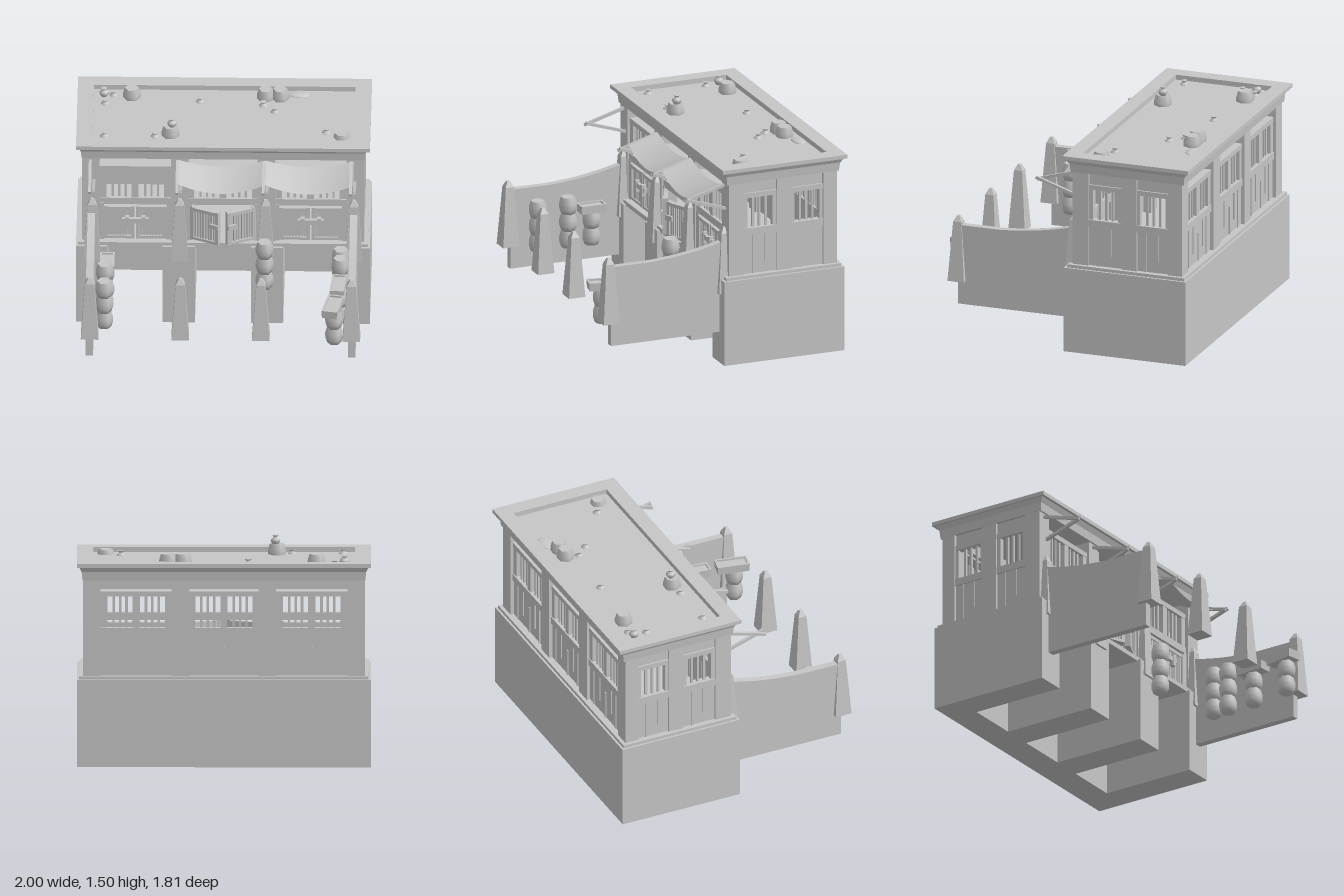
import * as THREE from 'three';

const stone = new THREE.MeshStandardMaterial({ color: 0xc6c6c6 });
stone.name = 'pale grey';
const cloth = stone.clone(); // same grey, visible from both sides
cloth.name = 'pale grey cloth';
cloth.side = THREE.DoubleSide;

function add(parent, name, geo, x = 0, y = 0, z = 0, mat = stone) {
  const m = new THREE.Mesh(geo, mat);
  m.name = name;
  m.position.set(x, y, z);
  parent.add(m);
  return m;
}

// box given by its limits
function block(parent, name, x0, x1, y0, y1, z0, z1) {
  return add(parent, name, new THREE.BoxGeometry(x1 - x0, y1 - y0, z1 - z0),
    (x0 + x1) / 2, (y0 + y1) / 2, (z0 + z1) / 2);
}

function group(parent, name, x = 0, y = 0, z = 0, ry = 0) {
  const g = new THREE.Group();
  g.name = name;
  g.position.set(x, y, z);
  g.rotation.y = ry;
  parent.add(g);
  return g;
}

// rectangular ring lying flat, with an optional outward flare towards its top
function ring(hw, hd, holeW, holeD, h, flare = 0) {
  const s = new THREE.Shape([[-hw, -hd], [hw, -hd], [hw, hd], [-hw, hd]].map(p => new THREE.Vector2(...p)));
  s.holes.push(new THREE.Path([[-holeW, -holeD], [-holeW, holeD], [holeW, holeD], [holeW, -holeD]].map(p => new THREE.Vector2(...p))));
  const g = new THREE.ExtrudeGeometry(s, { depth: h, bevelEnabled: false });
  g.rotateX(-Math.PI / 2);
  const p = g.attributes.position;
  for (let i = 0; i < p.count; i++) {
    const x = p.getX(i), z = p.getZ(i);
    if (p.getY(i) > h / 2 && Math.abs(x) > holeW + 0.005) p.setXYZ(i, x + Math.sign(x) * flare, h, z + Math.sign(z) * flare);
  }
  g.computeVertexNormals();
  return g;
}

// four-sided tapering pillar with a pyramid tip
function obelisk(parent, x, y, z) {
  const g = group(parent, 'obelisk', x, y, z);
  const r = Math.SQRT2;
  [[0.03, 0.06, 0.42, 0.21], [0.01, 0.03, 0.04, 0.44]].forEach(([top, bottom, h, cy], i) => {
    const c = new THREE.CylinderGeometry(top * r, bottom * r, h, 4).toNonIndexed();
    c.rotateY(Math.PI / 4);
    c.computeVertexNormals();
    add(g, i ? 'obeliskTip' : 'obeliskShaft', c, 0, cy, 0);
  });
}

// six-sided pottery with corners pointing sideways
const lathe = pts => new THREE.LatheGeometry(pts.map(p => new THREE.Vector2(...p)), 6).rotateY(Math.PI / 6);
const potGeo = lathe([[0, 0], [0.048, 0], [0.06, 0.035], [0.061, 0.075], [0.048, 0.12], [0.048, 0.12], [0.042, 0.118], [0.042, 0.118], [0, 0.118]]);
const jugGeo = lathe([[0, 0], [0.022, 0], [0.033, 0.022], [0.03, 0.036], [0.015, 0.045], [0.015, 0.054], [0.022, 0.062], [0.022, 0.062], [0, 0.064]]);

function potStack(parent, x, z, n) {
  for (let i = 0; i < n; i++) add(parent, 'pot', potGeo, x, 0.35 + i * 0.12, z);
}

function tray(parent, x, z, w, d, ry) {
  const g = group(parent, 'tray', x, 0.585, z, ry);
  add(g, 'trayRim', ring(w / 2 - 0.004, d / 2 - 0.004, w / 2 - 0.013, d / 2 - 0.013, 0.058, 0.004));
  block(g, 'trayFloor', -w / 2 + 0.008, w / 2 - 0.008, 0.001, 0.045, -d / 2 + 0.008, d / 2 - 0.008);
}

// slatted half door, hinged at local x = 0 and reaching to x = dir * w
function doorLeaf(parent, x, z, w, dir, turn) {
  const g = group(parent, 'doorLeaf', x, 0, z, turn);
  const bar = (n, a, b, y0, y1, z0, z1) => block(g, n, Math.min(a * dir, b * dir), Math.max(a * dir, b * dir), y0, y1, z0, z1);
  bar('doorBack', 0.01, w - 0.01, 0.64, 0.86, -0.012, 0);
  bar('doorStile', 0, 0.025, 0.63, 0.885, -0.015, 0.022);
  bar('doorStile', w - 0.025, w, 0.63, 0.885, -0.015, 0.022);
  bar('doorRail', 0.02, w - 0.02, 0.63, 0.65, -0.014, 0.02);
  bar('doorRail', 0.02, w - 0.02, 0.855, 0.88, -0.014, 0.02);
  const n = 8, step = (w - 0.05) / n;
  for (let i = 0; i < n; i++) bar('doorSlat', 0.028 + i * step, 0.028 + i * step + step * 0.6, 0.65, 0.855, 0, 0.012);
  return g;
}

// wall infill between two posts, facing local +z; lintelZ is the face of the wall above it
function bay(parent, x, z, ry, w, windows, planks, lintelZ) {
  const g = group(parent, 'wallBay', x, 0, z, ry), h = w / 2 + 0.005;
  if (planks) {
    block(g, 'lowerWall', -h, h, 0.62, 0.91, -0.04, 0);
    const n = windows * 3;
    for (let i = 1; i < n; i++) {
      const px = -h + (2 * h * i) / n + 0.012 * Math.sin(i * 5);
      block(g, 'plankSeam', px - 0.006, px + 0.006, i % 2 ? 0.62 : 0.7, i % 3 ? 0.9 : 0.82, -0.01, 0.008);
    }
  }
  block(g, 'midRail', -h, h, 0.9, 0.95, -0.04, 0.012);
  block(g, 'topRail', -h, h, 1.165, 1.2, Math.min(-0.04, lintelZ), 0.008);
  block(g, 'lintel', -h, h, 1.18, 1.29, lintelZ - 0.03, lintelZ);
  // window stiles, then bars
  const open = windows === 2 ? 0.175 : 0.185, gap = (w - windows * open) / (windows + 1);
  for (let i = 0; i <= windows; i++) {
    const s = -w / 2 + i * (open + gap);
    block(g, 'windowStile', s - 0.002, s + gap, 0.94, 1.18, -0.035, 0.004);
    if (i === windows) break;
    for (let b = 1; b <= 3; b++) {
      const bx = s + gap + (open * b) / 4;
      block(g, 'windowBar', bx - 0.008, bx + 0.008, 0.94, 1.18, -0.025, -0.009);
    }
  }
}

function rod(parent, x, a, b) {
  const dz = b[0] - a[0], dy = b[1] - a[1];
  const m = add(parent, 'awningRod', new THREE.BoxGeometry(0.02, 0.02, Math.hypot(dz, dy)), x, (a[1] + b[1]) / 2, (a[0] + b[0]) / 2);
  m.rotation.x = -Math.atan2(dy, dz);
}

function awning(parent, x0, x1, back, front) {
  const g = new THREE.PlaneGeometry(1, 1, 16, 4), p = g.attributes.position;
  for (let i = 0; i < p.count; i++) {
    const u = p.getX(i) + 0.5, v = 0.5 - p.getY(i), sag = 1 - (2 * u - 1) ** 2;
    p.setXYZ(i, x0 + (x1 - x0) * u, 1.265 - 0.05 * sag - v * (0.065 + 0.022 * sag), back + (front - back) * v);
  }
  g.computeVertexNormals();
  add(parent, 'awningCloth', g, 0, 0, 0, cloth);
}

export function createModel() {
  const model = new THREE.Group();
  model.name = 'marketHouse';

  // plinth: solid back with four piers reaching forward
  block(model, 'plinthBack', -1, 1, 0, 0.6, -0.885, -0.68);
  for (const [a, b] of [[-1, -0.79], [-0.41, -0.19], [0.19, 0.41], [0.79, 1]]) {
    block(model, 'plinthPier', a, b, 0, 0.6, -0.68, 0);
  }
  block(model, 'floor', -0.985, 0.985, 0.59, 0.622, -0.87, -0.02);

  // posts
  for (const x of [-0.9, -0.295, 0.295, 0.9]) {
    block(model, 'frontPost', x - 0.06, x + 0.06, 0.62, 1.29, -0.165, -0.05);
    block(model, 'backPost', x - 0.06, x + 0.06, 0.62, 1.29, -0.845, -0.745);
  }
  for (const s of [-1, 1]) block(model, 'sidePost', s * 0.92 - 0.04, s * 0.92 + 0.04, 0.62, 1.29, -0.515, -0.405);

  // wall bays
  for (const x of [-0.597, 0, 0.597]) {
    bay(model, x, -0.075, 0, 0.485, 2, false, -0.1);
    bay(model, x, -0.82, Math.PI, 0.485, 2, true, -0.1);
  }
  for (const s of [-1, 1]) for (const z of [-0.285, -0.63]) bay(model, s * 0.945, z, s * Math.PI / 2, 0.24, 1, true, -0.004);

  // half doors: outer pairs shut and barred, the middle pair ajar
  for (const x of [-0.597, 0, 0.597]) {
    const ajar = x === 0;
    for (const s of [-1, 1]) {
      const leaf = doorLeaf(model, x + s * 0.215, -0.08, 0.21, -s, ajar ? s * 0.42 : 0);
      block(model, 'doorJamb', x + s * 0.228 - 0.016, x + s * 0.228 + 0.016, 0.62, 0.91, -0.11, -0.06);
      if (ajar) block(leaf, 'doorLatch', -s * 0.18 - 0.03, -s * 0.18 + 0.03, 0.755, 0.79, 0.02, 0.035);
    }
    if (ajar) continue;
    block(model, 'doorBar', x - 0.09, x + 0.09, 0.765, 0.8, -0.06, -0.035);
    for (const s of [-1, 1]) block(model, 'barBracket', x + s * 0.055 - 0.014, x + s * 0.055 + 0.014, 0.735, 0.815, -0.06, -0.03);
  }

  // roof: band, flared cornice, rim and slightly sunken terrace
  const rz = -0.448;
  add(model, 'corniceBand', ring(0.962, 0.412, 0.89, 0.35, 0.06, 0.006), 0, 1.28, rz);
  add(model, 'cornice', ring(0.968, 0.42, 0.89, 0.35, 0.035, 0.018), 0, 1.34, rz);
  add(model, 'roofRim', ring(1, 0.458, 0.89, 0.35, 0.027), 0, 1.373, rz);
  block(model, 'terrace', -0.892, 0.892, 1.282, 1.365, rz - 0.352, rz + 0.352);
  for (const [x, z, y = 1.32] of [[-0.63, -0.7], [0.28, -0.7], [0.38, -0.7], [-0.36, -0.205], [0.805, -0.2, 1.28]]) {
    add(model, 'roofPot', potGeo, x, y, z);
  }
  for (const [x, z, y = 1.335] of [[-0.82, -0.715, 1.365], [-0.755, -0.725], [-0.81, -0.615], [-0.165, -0.65], [0.265, -0.605],
    [0.345, -0.52], [0.7, -0.26], [-0.81, -0.19], [-0.465, -0.19], [-0.35, -0.21, 1.435]]) {
    add(model, 'roofJug', jugGeo, x, y, z);
  }
  const heap = new THREE.SphereGeometry(1, 16, 6, 0, Math.PI * 2, 0, Math.PI / 2);
  heap.scale(0.075, 0.018, 0.046);
  add(model, 'sandHeap', heap, 0.505, 1.364, -0.752);

  // awnings on crossed rods
  for (const x of [-0.89, -0.297, 0.291, 0.885]) {
    rod(model, x - 0.013, [-0.05, 1.255], [0.24, 1.17]);
    rod(model, x + 0.013, [-0.05, 1.095], [0.24, 1.19]);
  }
  awning(model, -0.3, 0.29, -0.05, 0.165);
  awning(model, 0.29, 0.89, -0.05, 0.165);

  // yard walls with a curved top
  const wall = new THREE.Shape();
  wall.moveTo(0.01, 0.22);
  wall.lineTo(-0.8, 0.22);
  wall.lineTo(-0.8, 0.785);
  wall.lineTo(-0.5, 0.785);
  wall.quadraticCurveTo(-0.22, 0.8, 0.01, 0.862);
  const wallGeo = new THREE.ExtrudeGeometry(wall, { depth: 0.05, bevelEnabled: false, curveSegments: 8 });
  wallGeo.rotateY(Math.PI / 2);
  for (const x of [-0.92, 0.865]) add(model, 'yardWall', wallGeo, x, 0, 0);

  // obelisks along the house and the yard front
  for (const x of [-0.89, -0.295, 0.29, 0.89]) obelisk(model, x, 0.5, -0.043);
  for (const x of [-0.893, -0.277, 0.272, 0.888]) obelisk(model, x, 0.385, 0.806);

  // yard pots and trays
  for (const [x, z, n] of [[-0.797, 0.628, 3], [-0.797, 0.405, 3], [-0.795, 0.235, 2], [0.805, 0.305, 3], [0.805, 0.188, 3],
    [0.285, 0.1, 3], [0.805, 0.515, 2], [0.77, 0.808, 2]]) potStack(model, x, z, n);
  tray(model, -0.783, 0.236, 0.1, 0.185, 0);
  tray(model, 0.793, 0.517, 0.1, 0.22, -0.08);
  tray(model, 0.76, 0.787, 0.11, 0.225, -0.2);

  return model;
}
